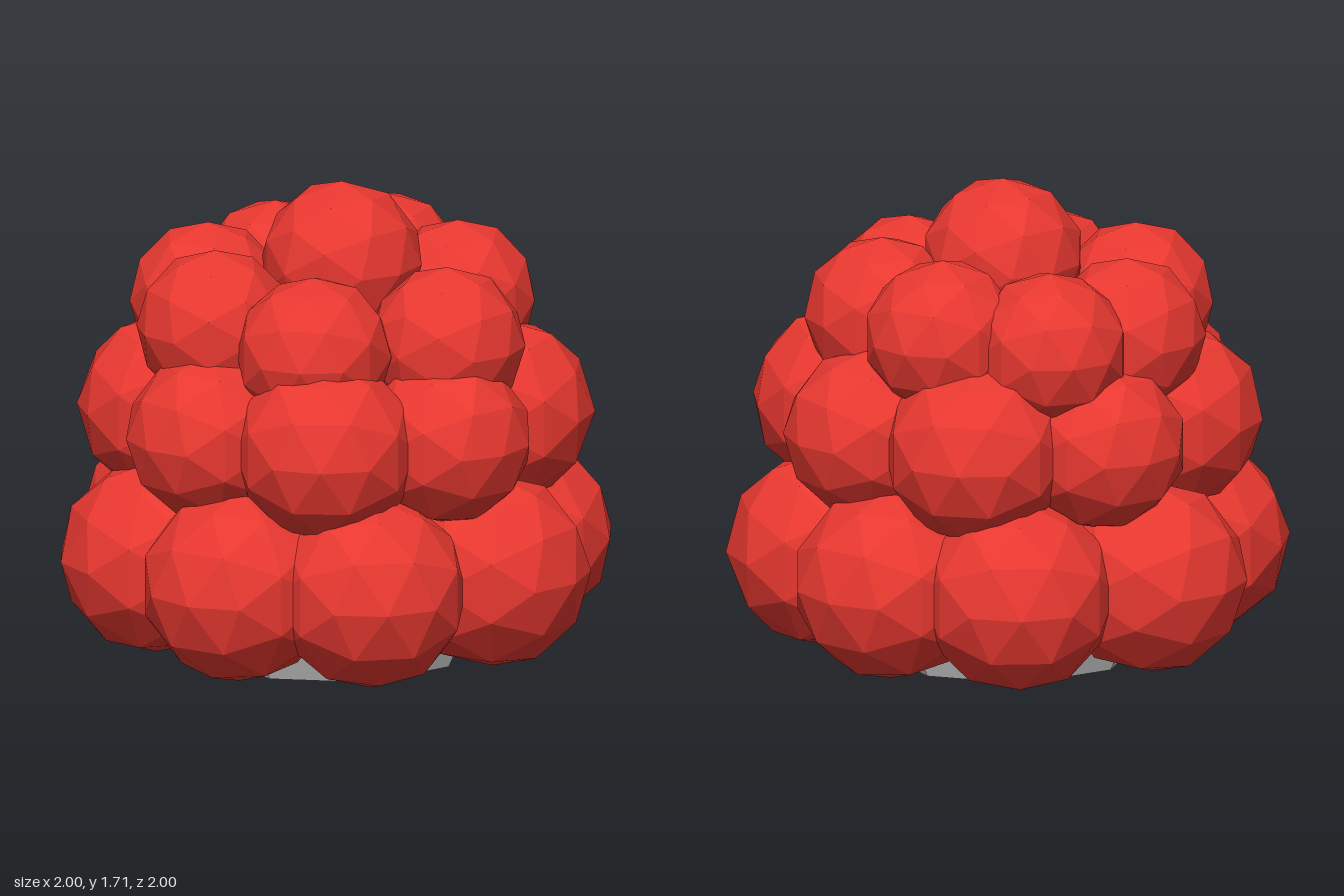
import * as THREE from 'three';

export function createModel() {
  const model = new THREE.Group();
  model.name = 'berry';

  const red = new THREE.MeshStandardMaterial({ color: 0xe83830, flatShading: true });
  red.name = 'berry red';
  const grey = new THREE.MeshStandardMaterial({ color: 0xcccccc, flatShading: true, side: THREE.DoubleSide });
  grey.name = 'core grey';

  // One faceted bead, turned to face away from the centre
  const beadGeometry = new THREE.IcosahedronGeometry(1, 1);
  function addBead(parent, x, y, z, radius) {
    const bead = new THREE.Mesh(beadGeometry, red);
    bead.name = 'bead';
    bead.position.set(x, y, z);
    bead.scale.setScalar(radius);
    bead.rotation.y = -Math.atan2(z, x);
    parent.add(bead);
  }
  function addGroup(name) {
    const group = new THREE.Group();
    group.name = name;
    model.add(group);
    return group;
  }

  // Lower ring of eight beads, slightly unevenly spaced
  const lowerRing = addGroup('lowerRing');
  [0, 47, 94, 136, 180, 227, 274, 316].forEach((degrees) => {
    const a = THREE.MathUtils.degToRad(degrees);
    addBead(lowerRing, 0.652 * Math.cos(a), 0.39, 0.652 * Math.sin(a), 0.348);
  });

  // Middle ring, offset, with larger and smaller beads in turn
  const middleRing = addGroup('middleRing');
  for (let i = 0; i < 8; i++) {
    const a = THREE.MathUtils.degToRad(18 + i * 45);
    const radius = i % 2 ? 0.303 : 0.326;
    addBead(middleRing, 0.588 * Math.cos(a), 0.89, 0.588 * Math.sin(a), radius);
  }

  // Upper ring of seven loosely placed beads
  const upperRing = addGroup('upperRing');
  [
    [0.45, 1.255, -0.03], [0.3, 1.205, 0.4], [-0.19, 1.205, 0.42], [-0.465, 1.24, 0.1],
    [-0.385, 1.23, -0.31], [-0.09, 1.24, -0.5], [0.28, 1.27, -0.395],
  ].forEach(([x, y, z]) => addBead(upperRing, x, y, z, 0.278));

  // Single bead on top
  addBead(addGroup('topBead'), 0.015, 1.43, 0.025, 0.288);

  // Faceted core with a dimple and a short hole in its underside
  const profile = [
    [0, 0.23], [0.12, 0.23], [0.16, 0.13], [0.46, 0.005], [0.54, 0.17],
    [0.6, 0.45], [0.52, 0.9], [0.3, 1.15], [0, 1.25],
  ].map(([r, y]) => new THREE.Vector2(r, y));
  const core = new THREE.Mesh(new THREE.LatheGeometry(profile, 8), grey);
  core.name = 'core';
  model.add(core);

  return model;
}
